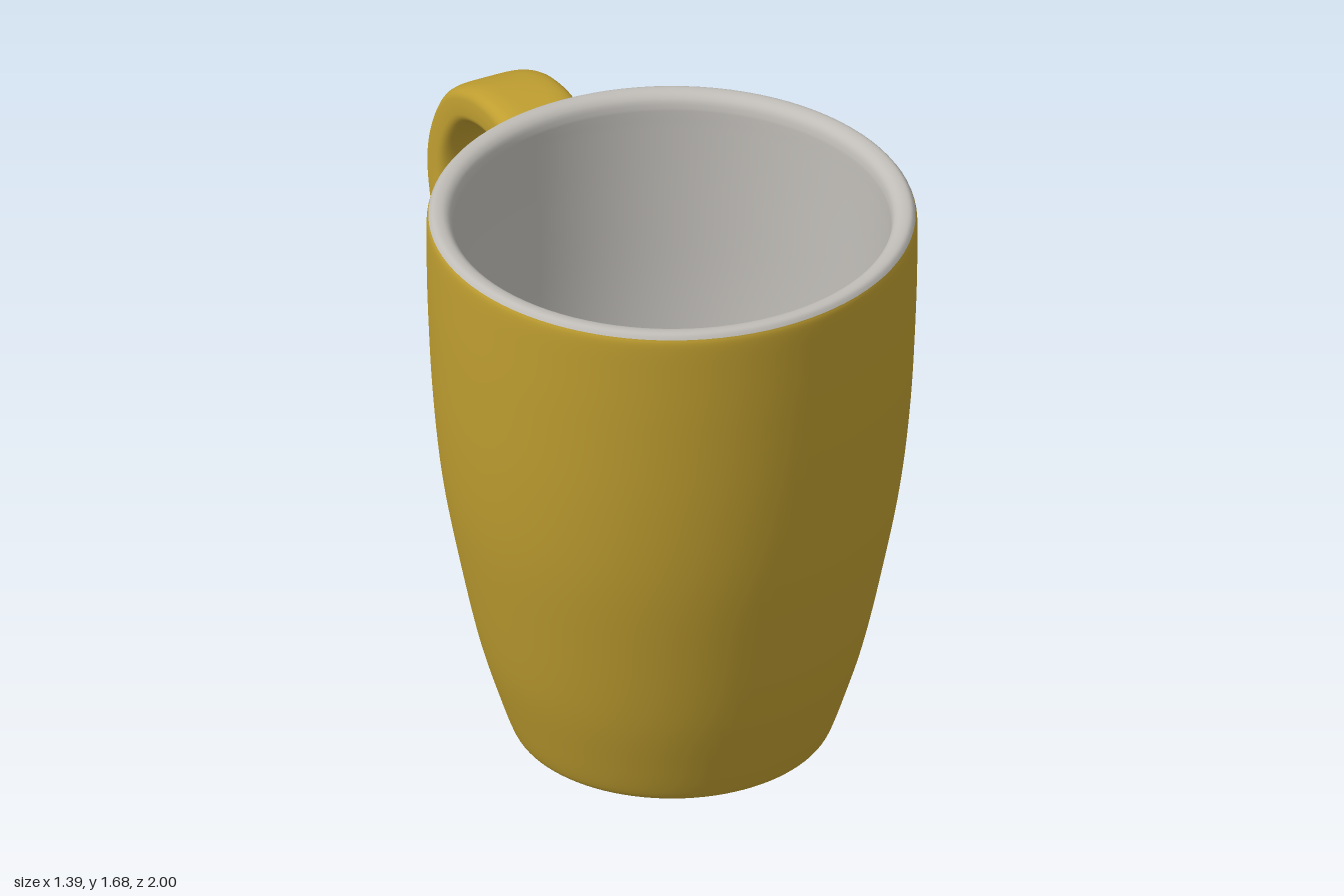
import * as THREE from 'three';

const AXIS_Z = 0.305; // the cup stands forward of centre, the handle behind it

const glaze = new THREE.MeshStandardMaterial({ name: 'mustard glaze', color: 0xbf9e30 });
const pale = new THREE.MeshStandardMaterial({ name: 'pale ceramic', color: 0xc0bdb8 });

const vectors = (pts) => pts.map(([x, y]) => new THREE.Vector2(x, y));
const smooth = (pts, n) => new THREE.SplineCurve(vectors(pts)).getPoints(n);

function turned(name, profile, material) {
  const mesh = new THREE.Mesh(new THREE.LatheGeometry(profile, 96), material);
  mesh.name = name;
  mesh.position.z = AXIS_Z;
  return mesh;
}

// Handle: rounded-rectangle loops strung between an outer and an inner side curve
function handleGeometry() {
  // [z, y] pairs, from the upper joint round to the lower joint
  const outer = new THREE.SplineCurve(vectors([
    [-0.33, 1.57], [-0.385, 1.568], [-0.415, 1.557], [-0.5, 1.568], [-0.608, 1.576], [-0.742, 1.55],
    [-0.876, 1.474], [-0.962, 1.345], [-1, 1.195], [-0.962, 1.024], [-0.866, 0.852], [-0.715, 0.702],
    [-0.555, 0.557], [-0.42, 0.434], [-0.287, 0.284], [-0.24, 0.243], [-0.18, 0.23],
  ]));
  const inner = new THREE.SplineCurve(vectors([
    [-0.33, 1.23], [-0.385, 1.255], [-0.42, 1.29], [-0.475, 1.395], [-0.555, 1.447], [-0.66, 1.45],
    [-0.77, 1.408], [-0.85, 1.31], [-0.88, 1.195], [-0.857, 1.06], [-0.78, 0.925], [-0.64, 0.775],
    [-0.49, 0.657], [-0.39, 0.596], [-0.335, 0.58], [-0.315, 0.59], [-0.27, 0.6],
  ]));
  const rows = 96, sides = 40;
  const positions = [], indices = [];
  const squarish = (v) => Math.sign(v) * Math.sqrt(Math.abs(v));
  for (let i = 0; i <= rows; i++) {
    const t = i / rows;
    const o = outer.getPoint(t), n = inner.getPoint(t);
    const flare = 0.015 * Math.pow(Math.abs(2 * t - 1), 16);
    for (let j = 0; j < sides; j++) {
      const a = (j / sides) * Math.PI * 2;
      const k = (squarish(Math.cos(a)) + 1) / 2;
      positions.push((0.13 + flare) * squarish(Math.sin(a)), n.y + (o.y - n.y) * k, n.x + (o.x - n.x) * k);
      if (i < rows) {
        const p = i * sides + j, q = i * sides + ((j + 1) % sides);
        indices.push(p, q, p + sides, q, q + sides, p + sides);
      }
    }
  }
  const geometry = new THREE.BufferGeometry();
  geometry.setAttribute('position', new THREE.Float32BufferAttribute(positions, 3));
  geometry.setIndex(indices);
  geometry.computeVertexNormals();
  return geometry;
}

export function createModel() {
  const mug = new THREE.Group();
  mug.name = 'mug';

  // Outer wall, from the foot up to the shoulder of the rim
  const wall = smooth([
    [0.44, 0], [0.458, 0.02], [0.493, 0.12], [0.547, 0.3], [0.599, 0.54], [0.648, 0.81],
    [0.676, 1.08], [0.69, 1.36], [0.694, 1.55], [0.694, 1.64], [0.689, 1.665],
  ], 60);
  mug.add(turned('outerWall', wall, glaze));

  // Rounded rim, inner wall and floor
  const lining = [
    ...smooth([[0.689, 1.665], [0.679, 1.677], [0.663, 1.68], [0.642, 1.675], [0.626, 1.658], [0.62, 1.63]], 15),
    ...smooth([
      [0.62, 1.6], [0.613, 1.35], [0.6, 1.05], [0.574, 0.79], [0.528, 0.53], [0.475, 0.3],
      [0.435, 0.165], [0.41, 0.125], [0.37, 0.104], [0.33, 0.1],
    ], 50),
    new THREE.Vector2(0, 0.1),
  ];
  mug.add(turned('rimAndInside', lining, pale));

  // Unglazed foot ring around a shallow recess
  mug.add(turned('footRing', vectors([[0.39, 0], [0.44, 0]]), pale));
  const recess = [
    new THREE.Vector2(0, 0.045),
    ...smooth([[0.33, 0.045], [0.36, 0.04], [0.38, 0.02], [0.39, 0]], 12),
  ];
  mug.add(turned('baseRecess', recess, glaze));

  const handle = new THREE.Mesh(handleGeometry(), glaze);
  handle.name = 'handle';
  mug.add(handle);
  return mug;
}
